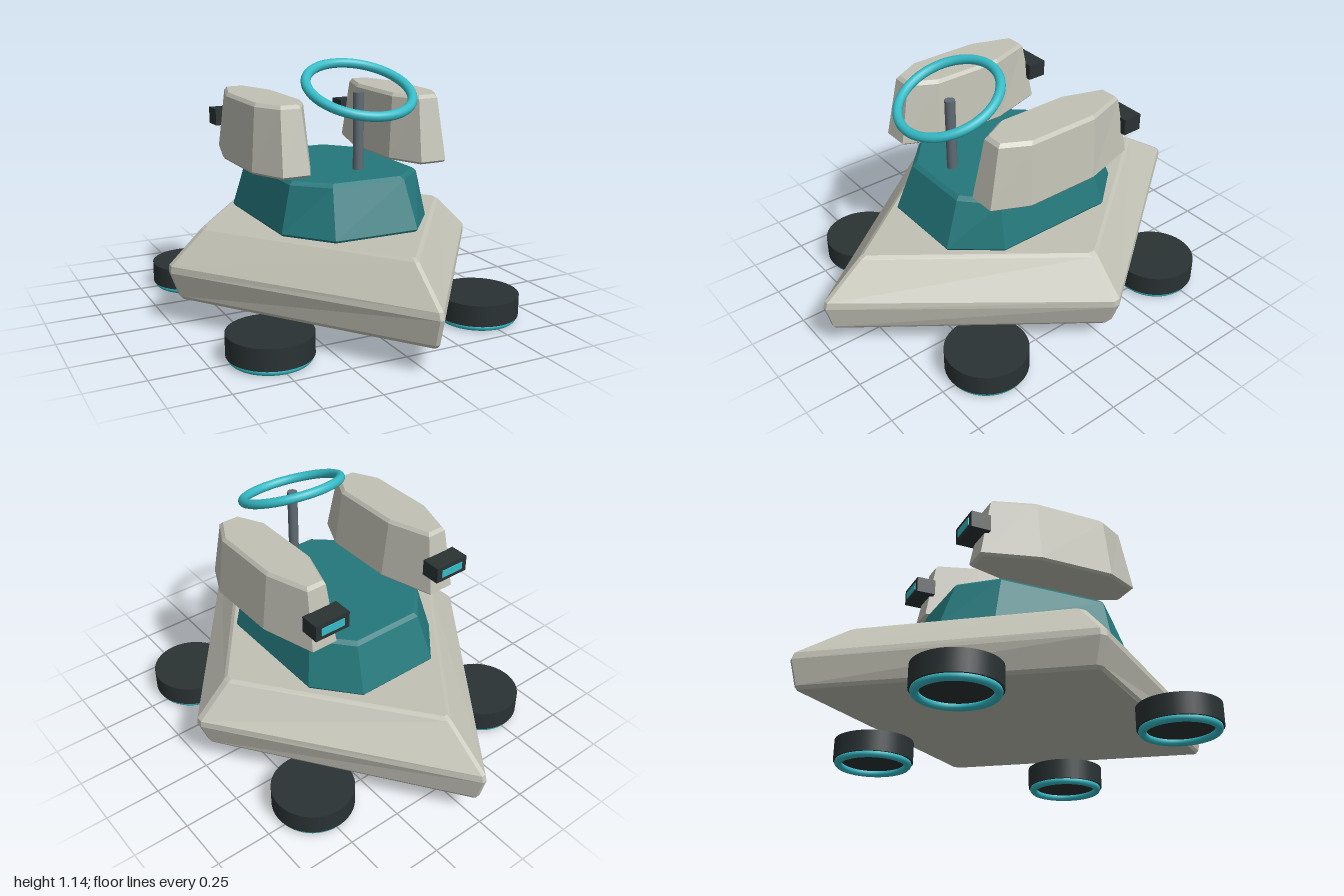
import * as THREE from 'three';

const mat = (name, color) => Object.assign(new THREE.MeshStandardMaterial({ color }), { name });

// Eight-sided outline: end half-width, side half-width, then z of front end, front shoulder, back shoulder, back end
function ring(y, end, side, front, frontSide, backSide, back) {
  const right = [[end, front], [side, frontSide], [side, backSide], [end, back]];
  const left = right.map(([x, z]) => [-x, z]).reverse();
  return [...right, ...left].map(([x, z]) => [x, y, z]);
}

// Faceted solid through a stack of outlines, bottom to top, with both caps
function loft(rings) {
  const pos = [];
  const tri = (a, b, c) => pos.push(...a, ...b, ...c);
  for (let r = 0; r < rings.length - 1; r++) {
    const lo = rings[r], hi = rings[r + 1];
    for (let i = 0; i < lo.length; i++) {
      const j = (i + 1) % lo.length;
      tri(lo[i], lo[j], hi[j]);
      tri(lo[i], hi[j], hi[i]);
    }
  }
  const bottom = rings[0], top = rings[rings.length - 1];
  for (let i = 1; i < top.length - 1; i++) {
    tri(top[0], top[i], top[i + 1]);
    tri(bottom[0], bottom[i + 1], bottom[i]);
  }
  const g = new THREE.BufferGeometry();
  g.setAttribute('position', new THREE.Float32BufferAttribute(pos, 3));
  g.computeVertexNormals();
  return g;
}

export function createModel() {
  const shell = mat('warm grey shell', 0xc1c1b5);
  const teal = mat('dark teal', 0x24787c);
  const cyan = mat('bright cyan', 0x35bcc8);
  const dark = mat('charcoal', 0x2a3233);
  const steel = mat('steel grey', 0x5f6b73);

  const model = new THREE.Group();
  model.name = 'hoverKart';
  const add = (name, geometry, material, x = 0, y = 0, z = 0, parent = model) => {
    const m = new THREE.Mesh(geometry, material);
    m.name = name;
    m.position.set(x, y, z);
    parent.add(m);
    return m;
  };

  // Diamond hull with bevelled rims
  add('hull', loft([
    ring(0.12, 0.008, 0.70, 0.96, 0.03, 0.0, -0.96),
    ring(0.135, 0.01, 0.713, 0.972, 0.03, 0.0, -0.972),
    ring(0.245, 0.01, 0.753, 1.0, 0.03, 0.0, -1.0),
    ring(0.275, 0.01, 0.75, 0.99, 0.03, 0.0, -0.99),
    ring(0.42, 0.01, 0.60, 0.81, 0.03, 0.0, -0.77),
    ring(0.432, 0.008, 0.58, 0.785, 0.03, 0.0, -0.745),
  ]), shell);

  // Cockpit block
  add('cockpit', loft([
    ring(0.43, 0.19, 0.345, 0.49, 0.30, -0.255, -0.435),
    ring(0.442, 0.195, 0.352, 0.497, 0.305, -0.258, -0.443),
    ring(0.645, 0.17, 0.307, 0.42, 0.292, -0.212, -0.367),
    ring(0.66, 0.16, 0.292, 0.402, 0.285, -0.205, -0.35),
  ]), teal);

  // Side pods with rear thrusters
  const podGeo = loft([
    ring(0.697, 0.055, 0.124, 0.39, 0.24, -0.09, -0.33),
    ring(0.708, 0.061, 0.133, 0.405, 0.25, -0.09, -0.343),
    ring(0.975, 0.046, 0.11, 0.35, 0.23, -0.1, -0.293),
    ring(0.99, 0.038, 0.098, 0.335, 0.22, -0.1, -0.28),
  ]);
  for (const s of [1, -1]) {
    const side = new THREE.Group();
    side.name = s > 0 ? 'leftPod' : 'rightPod';
    side.position.x = s * 0.325;
    model.add(side);
    add('podBody', podGeo, shell, 0, 0, 0, side);
    add('thruster', new THREE.BoxGeometry(0.17, 0.075, 0.09), dark, 0, 0.845, -0.353, side);
    add('thrusterGlow', new THREE.BoxGeometry(0.115, 0.035, 0.006), cyan, 0, 0.845, -0.399, side);
  }

  // Hover pads with glowing rims
  const padGeo = new THREE.CylinderGeometry(0.182, 0.182, 0.095, 40);
  const rimGeo = new THREE.TorusGeometry(0.158, 0.017, 12, 48).rotateX(Math.PI / 2);
  for (const x of [0.5, -0.5]) {
    for (const z of [0.52, -0.48]) {
      const pad = new THREE.Group();
      pad.name = (z > 0 ? 'front' : 'back') + (x > 0 ? 'Left' : 'Right') + 'HoverPad';
      pad.position.set(x, 0, z);
      model.add(pad);
      add('padBody', padGeo, dark, 0, 0.0725, 0, pad);
      add('padRim', rimGeo, cyan, 0, 0.017, 0, pad);
    }
  }

  // Steering column and tilted wheel
  add('steeringColumn', new THREE.CylinderGeometry(0.023, 0.023, 0.33, 20), steel, 0, 0.855, 0.32);
  const wheel = add('steeringWheel', new THREE.TorusGeometry(0.227, 0.021, 14, 56).rotateX(Math.PI / 2), cyan, 0, 1.035, 0.325);
  wheel.rotation.x = THREE.MathUtils.degToRad(22);

  return model;
}
